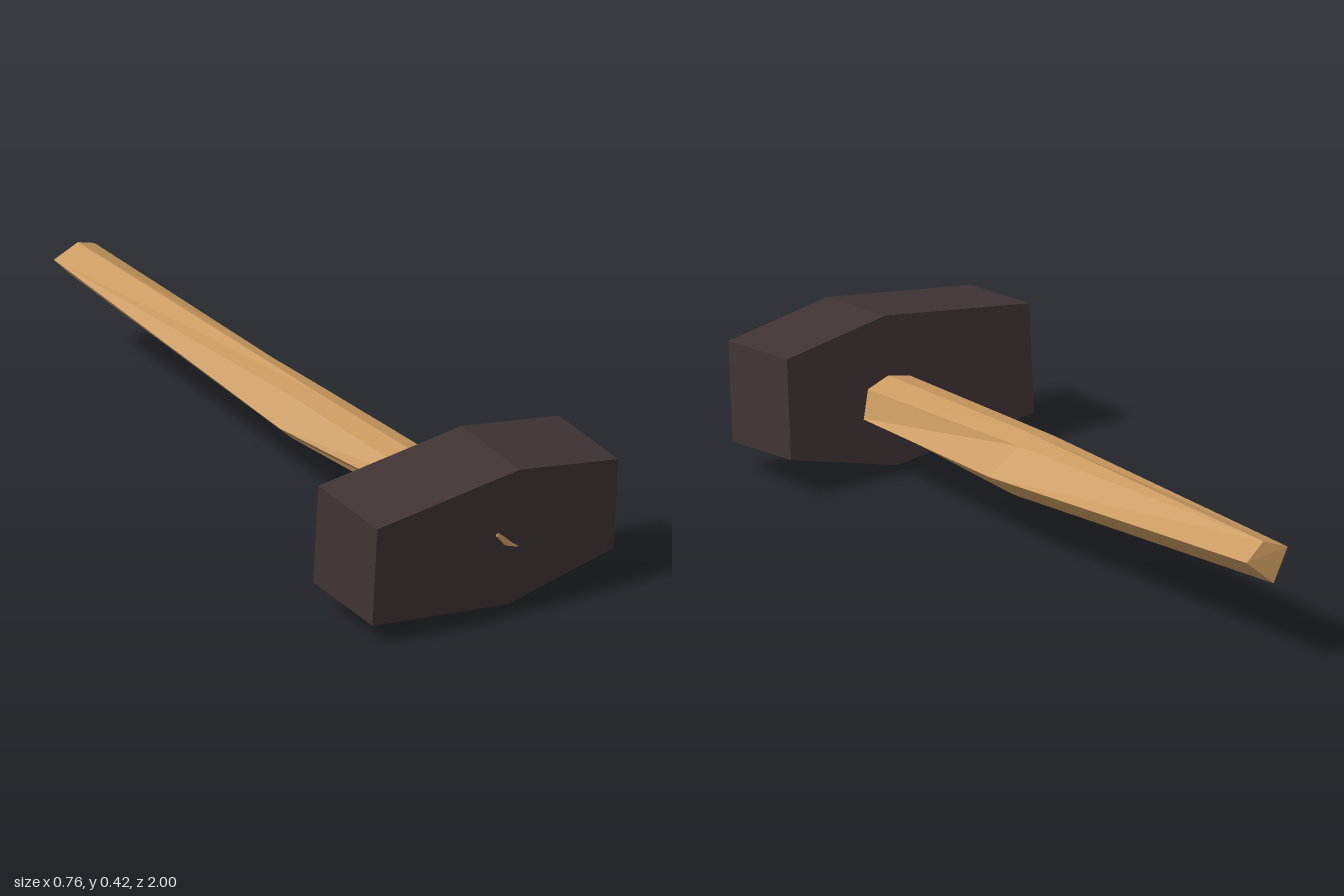
import * as THREE from 'three';

const wood = new THREE.MeshStandardMaterial({ color: 0xca9a60, flatShading: true });
wood.name = 'wood';
const iron = new THREE.MeshStandardMaterial({ color: 0x403434, flatShading: true });
iron.name = 'dark iron';

// Joins cross-sections (front to back, each anticlockwise seen from +z) with flat facets.
function loft(sections) {
  const out = [];
  const tri = (a, b, c) => {
    const area = new THREE.Triangle(...[a, b, c].map((p) => new THREE.Vector3(...p))).getArea();
    if (area > 1e-7) out.push(...a, ...b, ...c);
  };
  const n = sections[0].length;
  for (let s = 0; s < sections.length - 1; s++) {
    const a = sections[s], b = sections[s + 1];
    for (let i = 0; i < n; i++) {
      const j = (i + 1) % n;
      tri(a[i], b[i], b[j]);
      tri(a[i], b[j], a[j]);
    }
  }
  const first = sections[0], last = sections[sections.length - 1];
  for (let i = 1; i < n - 1; i++) {
    tri(first[0], first[i], first[i + 1]);
    tri(last[0], last[i + 1], last[i]);
  }
  const g = new THREE.BufferGeometry();
  g.setAttribute('position', new THREE.Float32BufferAttribute(out, 3));
  g.computeVertexNormals();
  return g;
}

// Six-sided head, extruded and then leaned back
function headGeometry() {
  const outline = [
    [0.06, 0], [0.38, 0.078], [0.37, 0.338],
    [0.06, 0.39], [-0.38, 0.333], [-0.37, 0.05],
  ].map(([x, y]) => new THREE.Vector2(x, y));
  const g = new THREE.ExtrudeGeometry(new THREE.Shape(outline), { depth: 1, bevelEnabled: false });
  const p = g.attributes.position;
  for (let i = 0; i < p.count; i++) {
    const y = p.getY(i), back = 1 - p.getZ(i);
    p.setXYZ(i, p.getX(i), y + 0.028 * back, 0.95 + 0.128 * y - 0.26 * back);
  }
  g.computeVertexNormals();
  return g;
}

// Whittled handle: faceted tip, neck, thick belly and slanted four-cornered butt
function handleGeometry() {
  const tip = [
    [0.13, 0.17, 0.95], [0.115, 0.23, 0.95], [0.06, 0.25, 0.96], [0.012, 0.235, 0.972],
    [0, 0.213, 0.983], [0.03, 0.18, 0.981], [0.07, 0.164, 0.973], [0.11, 0.165, 0.955],
  ];
  const neck = [
    [0.15, 0.165, 0.72], [0.13, 0.24, 0.72], [0.065, 0.263, 0.72], [0, 0.25, 0.72],
    [-0.02, 0.21, 0.72], [0, 0.17, 0.72], [0.065, 0.155, 0.72], [0.12, 0.155, 0.72],
  ];
  const belly = [
    [0.185, 0.2, 0.1], [0.107, 0.273, 0.08], [0.055, 0.29, 0.12], [0, 0.28, 0.08],
    [-0.05, 0.21, 0.1], [0, 0.165, 0.08], [0.065, 0.15, 0.07], [0.13, 0.15, 0.07],
  ];
  const left = [-0.005, 0.29, -0.955], top = [0.07, 0.32, -0.955];
  const right = [0.145, 0.287, -0.988], bottom = [0.07, 0.22, -1];
  const butt = [right, top, top, left, left, bottom, bottom, bottom];
  return loft([tip, neck, belly, butt]);
}

export function createModel() {
  const group = new THREE.Group();
  group.name = 'hammer';
  const head = new THREE.Mesh(headGeometry(), iron);
  head.name = 'head';
  const handle = new THREE.Mesh(handleGeometry(), wood);
  handle.name = 'handle';
  group.add(head, handle);
  return group;
}
